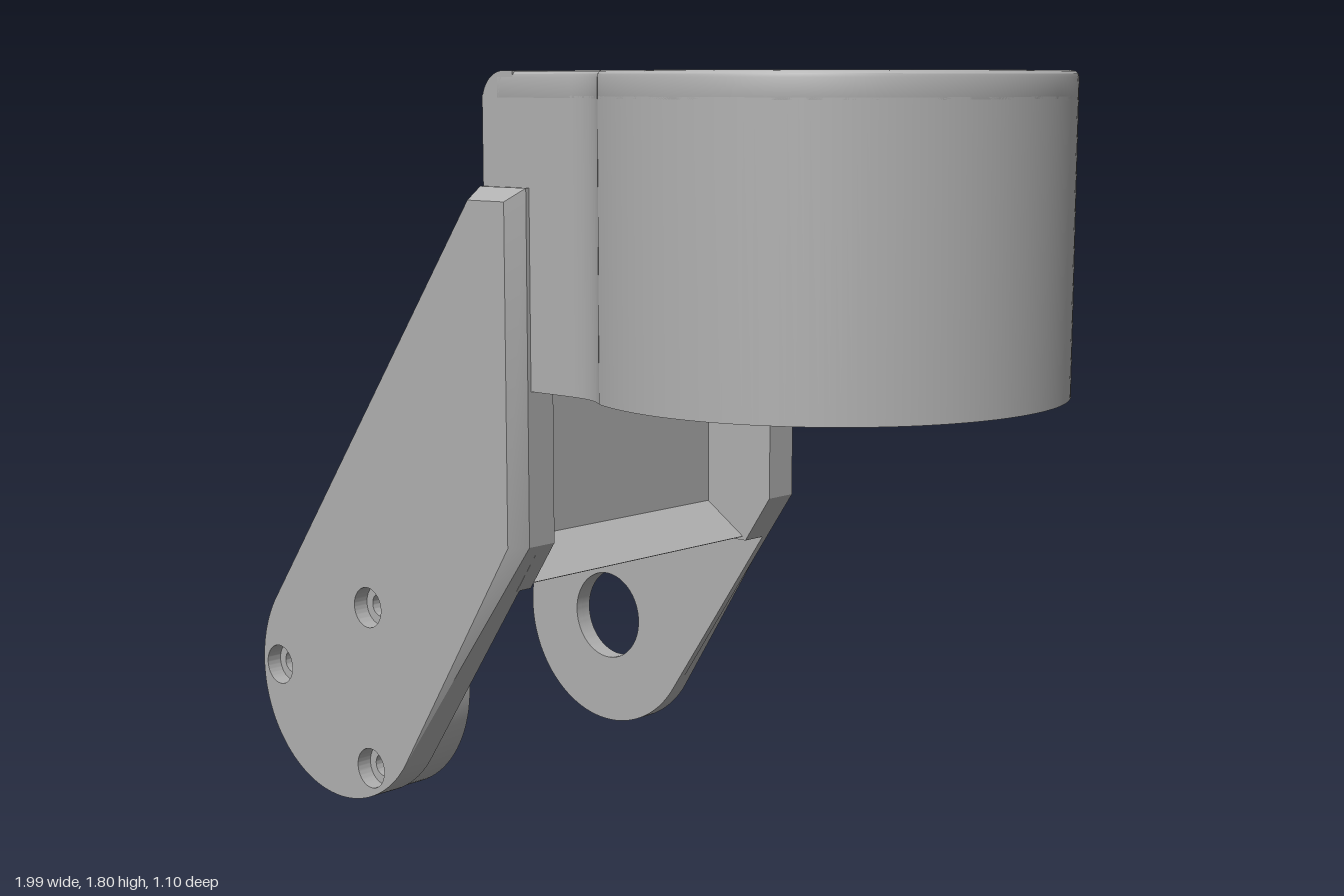
import * as THREE from 'three';
import { toCreasedNormals } from 'three/addons/utils/BufferGeometryUtils.js';

export function createModel() {
  const model = new THREE.Group();
  const grey = new THREE.MeshStandardMaterial({ color: 0xb0b0b0 });
  grey.name = 'grey plastic';

  const add = (name, geo) => {
    const mesh = new THREE.Mesh(toCreasedNormals(geo, 0.5), grey);
    mesh.name = name;
    model.add(mesh);
    return mesh;
  };
  const poly = (pts) => new THREE.Shape(pts.map(([x, y]) => new THREE.Vector2(x, y)));
  const hole = (x, y, r) => new THREE.Path().absarc(x, y, r, 0, Math.PI * 2, true);
  const extrude = (shape, depth, extra = {}) =>
    new THREE.ExtrudeGeometry(shape, { depth, bevelEnabled: false, curveSegments: 48, ...extra });
  // Extrusions along each axis, between two coordinates
  const alongZ = (shape, z0, z1) => extrude(shape, z1 - z0).translate(0, 0, z0);
  const alongY = (shape, y0, y1) => extrude(shape, y1 - y0).rotateX(-Math.PI / 2).translate(0, y0, 0);
  const alongX = (shape, x0, x1) => extrude(shape, x1 - x0).rotateY(Math.PI / 2).translate(x0, 0, 0);

  // ---- Round housing: keyhole outline in plan, open underneath
  const CX = 0.44, R = 0.55, SIDE = 0.455;
  const a = Math.atan2(0.5, -0.23);
  const outline = (x0) => {
    const s = new THREE.Shape();
    s.moveTo(x0, -SIDE);
    s.lineTo(0.08, -SIDE);
    s.quadraticCurveTo(0.16, -SIDE, 0.21, -0.5);
    s.absarc(CX, 0, R, -a, a, false);
    s.quadraticCurveTo(0.16, SIDE, 0.08, SIDE);
    s.lineTo(x0, SIDE);
    return s;
  };
  const wall = outline(-0.2);
  const b = Math.atan2(0.41, -0.32);
  wall.lineTo(-0.2, 0.41);
  wall.lineTo(0.12, 0.41);
  wall.absarc(CX, 0, 0.52, b, -b, true);
  wall.lineTo(-0.2, -0.41);
  add('housingWall', alongY(wall, 1.08, 1.745));

  const lid = outline(-0.15);
  lid.holes.push(hole(0.33, 0.2, 0.028), hole(0.33, -0.2, 0.028), hole(0.675, 0, 0.028));
  add('housingLid', extrude(lid, 0.045, {
    bevelEnabled: true, bevelThickness: 0.015, bevelSize: 0.015, bevelOffset: -0.015, bevelSegments: 3,
  }).rotateX(-Math.PI / 2).translate(0, 1.74, 0));

  // Flat back of the housing with its rounded top edge
  const back = new THREE.Shape();
  back.moveTo(-0.2, 1.45);
  back.lineTo(-0.15, 1.45);
  back.lineTo(-0.15, 1.72);
  back.lineTo(-0.1, 1.74);
  back.lineTo(-0.1, 1.8);
  back.lineTo(-0.13, 1.8);
  back.absarc(-0.13, 1.73, 0.07, Math.PI / 2, Math.PI, false);
  add('housingBack', alongZ(back, -SIDE, SIDE));

  // ---- Side arms: slanted plates with a round lower end
  const PX = -0.7, PY = 0.3;
  const armShape = (holes) => {
    const s = new THREE.Shape();
    s.moveTo(-0.05, 0.72);
    s.lineTo(-0.05, 1.54);
    s.lineTo(-0.2, 1.54);
    s.lineTo(-0.945, 0.473);
    s.absarc(PX, PY, 0.3, 2.525, 2.525 + Math.PI, false);
    s.holes.push(...holes);
    return s;
  };
  // Chamfers the front and top edges of the outer face
  const chamfer = (geo, zOuter) => {
    const p = geo.attributes.position;
    for (let i = 0; i < p.count; i++) {
      if (Math.abs(p.getZ(i) - zOuter) > 0.001) continue;
      if (p.getX(i) > -0.06) p.setX(i, p.getX(i) - 0.03);
      if (p.getY(i) > 1.5) p.setY(i, p.getY(i) - 0.03);
    }
    return geo;
  };
  const screws = [Math.PI, Math.PI / 3, -Math.PI / 3].map(
    (t) => [PX + 0.235 * Math.cos(t), PY + 0.235 * Math.sin(t)]);
  const screwHoles = (r) => screws.map(([x, y]) => hole(x, y, r));
  add('frontArmInner', alongZ(armShape(screwHoles(0.028)), 0.42, 0.465));
  add('frontArmOuter', chamfer(alongZ(armShape(screwHoles(0.05)), 0.465, 0.505), 0.505));

  const slot = poly([[-0.25, 0.8], [-0.25, 0.95], [-0.235, 0.965], [-0.185, 0.965],
    [-0.17, 0.95], [-0.17, 0.8], [-0.185, 0.785], [-0.235, 0.785]]);
  const backHoles = [hole(PX, PY, 0.12), hole(-0.1, 1.39, 0.025), hole(-0.1, 0.77, 0.025), slot];
  add('backArmInner', alongZ(armShape(backHoles), -0.475, -0.455));
  add('backArmOuter', chamfer(alongZ(armShape(backHoles), -0.505, -0.475), -0.505));

  // ---- Pivot ring inside the front arm, with three screw lobes
  const ring = new THREE.Shape().absarc(PX, PY, 0.297, 0, Math.PI * 2, false);
  const cavity = [];
  for (let i = 0; i < 96; i++) {
    const t = (i / 96) * Math.PI * 2;
    const lobe = THREE.MathUtils.smoothstep(-Math.cos(3 * t), 0.2, 0.75);
    const r = 0.25 - 0.075 * lobe;
    cavity.push([PX + r * Math.cos(t), PY + r * Math.sin(t)]);
  }
  ring.holes.push(poly(cavity), ...screwHoles(0.028));
  add('pivotRing', alongZ(ring, 0.335, 0.42));

  // ---- Bracket between the arms
  const cheek = poly([[-0.05, 0.72], [-0.05, 1.53], [-0.2, 1.53], [-0.63, 0.92], [-0.17, 0.6], [-0.131, 0.6]]);
  add('frontCheek', alongZ(cheek, 0.385, 0.43));
  add('backCheek', alongZ(cheek, -0.455, -0.385));

  const middle = poly([[-0.4, 0.8], [0.4, 0.8], [0.4, 1.2], [-0.4, 1.2]]);
  middle.holes.push(hole(-0.28, 1.015, 0.03), hole(0.28, 1.015, 0.03));
  add('bracketWall', alongX(middle, -0.35, -0.26));
  add('bracketSlope', alongZ(poly([[-0.35, 1.2], [-0.26, 1.2], [-0.26, 1.31], [-0.15, 1.465],
    [-0.15, 1.53], [-0.2, 1.53], [-0.35, 1.32]]), -0.4, 0.4));
  add('bracketFloor', alongZ(poly([[-0.35, 0.72], [-0.17, 0.6], [-0.14, 0.61], [-0.26, 0.69],
    [-0.26, 0.8], [-0.35, 0.8]]), -0.4, 0.4));

  // Screw bosses and pocket fillets on both sides
  for (const side of [-1, 1]) {
    const boss = new THREE.Shape().absarc(side * 0.28, 1.015, 0.05, 0, Math.PI * 2, false);
    boss.holes.push(hole(side * 0.28, 1.015, 0.022));
    add('screwBoss', alongX(boss, -0.27, -0.22));

    const fillet = new THREE.Shape();
    fillet.moveTo(-0.34, side * 0.395);
    fillet.lineTo(-0.41, side * 0.395);
    fillet.lineTo(-0.41, side * 0.385);
    fillet.absarc(-0.41, side * 0.325, 0.06, side * Math.PI / 2, 0, side > 0);
    fillet.lineTo(-0.34, side * 0.325);
    add('pocketFillet', alongY(fillet, 0.765, 1.235));
  }
  return model;
}
